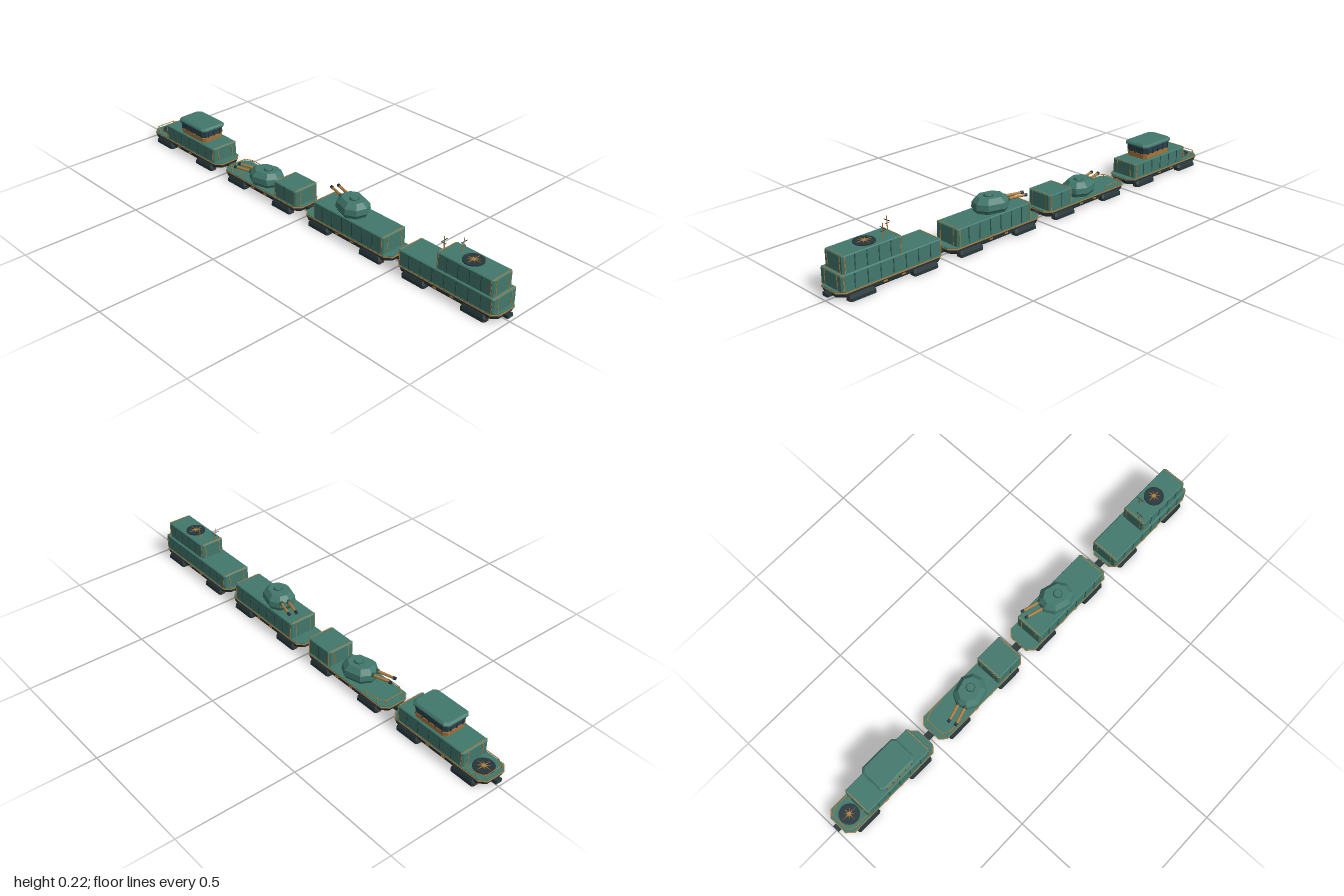
import * as THREE from 'three';

const mat = (name, color) => {
  const m = new THREE.MeshStandardMaterial({ color });
  m.name = name;
  return m;
};

// Stack of chamfered rectangles, each level = [y, halfWidth, halfLength, chamfer]
function loft(levels) {
  const rings = levels.map(([y, w, l, c]) => [
    [w, l - c], [w, c - l], [w - c, -l], [c - w, -l],
    [-w, c - l], [-w, l - c], [c - w, l], [w - c, l],
  ].map(([x, z]) => [x, y, z]));
  const pos = [];
  const tri = (a, b, c) => pos.push(...a, ...b, ...c);
  for (let k = 0; k < rings.length - 1; k++) {
    const lo = rings[k], hi = rings[k + 1];
    for (let i = 0; i < 8; i++) {
      const j = (i + 1) % 8;
      tri(lo[i], lo[j], hi[j]);
      tri(lo[i], hi[j], hi[i]);
    }
  }
  const bottom = rings[0], top = rings[rings.length - 1];
  for (let i = 1; i < 7; i++) {
    tri(top[0], top[i], top[i + 1]);
    tri(bottom[0], bottom[i + 1], bottom[i]);
  }
  const g = new THREE.BufferGeometry();
  g.setAttribute('position', new THREE.Float32BufferAttribute(pos, 3));
  g.computeVertexNormals();
  return g;
}

export function createModel() {
  const teal = mat('teal armour', 0x42786c);
  const rib = mat('dark teal ribs', 0x2d554e);
  const dark = mat('dark hull', 0x26363b);
  const gold = mat('bronze trim', 0xb07c3c);
  const glass = mat('window glass', 0x2b4350);
  const red = mat('dark red lamps', 0x6a2c28);

  const add = (parent, name, geo, material, x = 0, y = 0, z = 0) => {
    const m = new THREE.Mesh(geo, material);
    m.name = name;
    m.position.set(x, y, z);
    parent.add(m);
    return m;
  };
  const box = (parent, name, material, w, h, d, x, y, z) =>
    add(parent, name, new THREE.BoxGeometry(w, h, d), material, x, y, z);
  const group = (parent, name, x, y, z) => {
    const g = new THREE.Group();
    g.name = name;
    g.position.set(x, y, z);
    parent.add(g);
    return g;
  };

  // Hull with skids, deck trim and couplers
  function carriage(parent, name, z) {
    const car = group(parent, name, 0, 0, z);
    add(car, 'hull', loft([[0.005, 0.045, 0.205, 0.02], [0.018, 0.062, 0.228, 0.025], [0.034, 0.064, 0.234, 0.025]]), dark);
    add(car, 'deckTrim', loft([[0.034, 0.066, 0.236, 0.025], [0.0385, 0.066, 0.236, 0.025]]), gold);
    add(car, 'deck', loft([[0.0385, 0.064, 0.234, 0.025], [0.041, 0.064, 0.234, 0.025]]), teal);
    for (const s of [1, -1]) {
      box(car, 'coupler', dark, 0.028, 0.014, 0.026, 0, 0.024, s * 0.237);
      box(car, 'couplerPlate', glass, 0.02, 0.009, 0.002, 0, 0.024, s * 0.2495);
      for (const e of [1, -1]) {
        const skid = group(car, 'skid', s * 0.057, 0, e * 0.14);
        add(skid, 'skidBody', loft([[0, 0.016, 0.056, 0.006], [0.012, 0.015, 0.056, 0.006], [0.026, 0.009, 0.05, 0.006]]), dark);
        box(skid, 'skidLamp', red, 0.014, 0.006, 0.002, 0, 0.007, e * 0.0562);
        box(car, 'hullBolt', gold, 0.003, 0.005, 0.016, s * 0.064, 0.026, e * 0.04);
      }
    }
    return car;
  }

  // Armoured box with side ribs and bronze strips near its ends
  function cabin(car, name, hw, y0, y1, zBack, zFront) {
    const hl = (zFront - zBack) / 2, h = y1 - y0;
    const g = group(car, name, 0, y0, (zFront + zBack) / 2);
    add(g, 'walls', loft([[0, hw, hl, 0.006], [h - 0.003, hw, hl, 0.006], [h, hw - 0.003, hl - 0.003, 0.006]]), teal);
    const n = Math.max(2, Math.round(hl * 2 / 0.055));
    for (const s of [1, -1]) {
      for (let i = 1; i < n; i++)
        box(g, 'sideRib', rib, 0.003, h - 0.008, 0.004, s * hw, h / 2, -hl + i * 2 * hl / n);
      box(g, 'roofEndTrim', gold, hw * 2 - 0.014, 0.002, 0.003, 0, h, s * (hl - 0.006));
      for (const e of [1, -1]) {
        box(g, 'sideTrim', gold, 0.003, h - 0.004, 0.003, s * hw, h / 2, e * (hl - 0.009));
        box(g, 'endTrim', gold, 0.003, h - 0.008, 0.003, s * 0.036, h / 2, e * hl);
      }
    }
    return g;
  }

  // Faceted turret with a cupola and twin guns facing -z
  function turret(car, x, y, z, yaw) {
    const t = group(car, 'turret', x, y, z);
    t.rotation.y = yaw;
    add(t, 'turretShell', loft([[0, 0.046, 0.06, 0.028], [0.013, 0.057, 0.07, 0.033], [0.036, 0.055, 0.068, 0.033], [0.056, 0.038, 0.05, 0.024]]), teal);
    add(t, 'turretRing', loft([[-0.002, 0.05, 0.064, 0.03], [0.003, 0.05, 0.064, 0.03]]), rib);
    add(t, 'cupola', new THREE.CylinderGeometry(0.015, 0.018, 0.008, 12), teal, 0, 0.059, 0.008);
    add(t, 'cupolaRim', new THREE.CylinderGeometry(0.0185, 0.0195, 0.003, 12), rib, 0, 0.057, 0.008);
    for (const s of [1, -1]) {
      const gun = group(t, 'gun', s * 0.015, 0.033, -0.062);
      gun.rotation.x = -Math.PI / 2;
      add(gun, 'mantlet', new THREE.CylinderGeometry(0.009, 0.011, 0.022, 8), rib);
      add(gun, 'barrel', new THREE.CylinderGeometry(0.005, 0.0065, 0.09, 8), gold, 0, 0.04, 0);
      add(gun, 'muzzle', new THREE.CylinderGeometry(0.0065, 0.0065, 0.012, 8), dark, 0, 0.082, 0);
    }
  }

  // Round grille with eight tapering bronze blades
  function roundVent(car, y, z) {
    const v = group(car, 'roundVent', 0, y, z);
    add(v, 'ventDisc', new THREE.CylinderGeometry(0.041, 0.041, 0.004, 24), dark, 0, 0.001, 0);
    const blades = new THREE.Shape();
    for (let i = 0; i < 32; i++) {
      const r = i % 4 === 0 ? (i % 8 ? 0.024 : 0.033) : 0.008;
      const a = i * Math.PI / 16;
      blades[i ? 'lineTo' : 'moveTo'](r * Math.cos(a), r * Math.sin(a));
    }
    const m = add(v, 'ventBlades', new THREE.ExtrudeGeometry(blades, { depth: 0.002, bevelEnabled: false }), gold, 0, 0.003, 0);
    m.rotation.x = -Math.PI / 2;
  }

  // Low handrail running around the rear deck
  function rearRail(car, zStart, zEnd) {
    const pts = [[0.055, zStart], [0.056, zEnd + 0.03], [0.04, zEnd], [-0.04, zEnd], [-0.056, zEnd + 0.03], [-0.055, zStart]]
      .map(([x, z]) => new THREE.Vector3(x, 0.055, z));
    const path = new THREE.CurvePath();
    for (let i = 0; i < 5; i++) path.add(new THREE.LineCurve3(pts[i], pts[i + 1]));
    add(car, 'rearRail', new THREE.TubeGeometry(path, 40, 0.0016, 5), gold);
    for (const p of pts) box(car, 'railPost', gold, 0.003, 0.016, 0.003, p.x, 0.048, p.z);
  }

  const train = new THREE.Group();
  train.name = 'armouredConvoy';

  // Lead car: two-tier cabin, vent and masts
  const lead = carriage(train, 'leadCar', 0.75);
  cabin(lead, 'lowerCabin', 0.062, 0.04, 0.102, -0.222, 0.222);
  cabin(lead, 'upperCabin', 0.053, 0.1, 0.167, -0.05, 0.207);
  roundVent(lead, 0.168, 0.075);
  for (const [x, z] of [[-0.02, -0.043], [0.02, 0.01]]) {
    const mast = group(lead, 'mast', x, 0.166, z);
    mast.rotation.z = -Math.sign(x) * 0.06;
    add(mast, 'mastPole', new THREE.CylinderGeometry(0.0014, 0.0025, 0.056, 6), gold, 0, 0.028, 0);
    box(mast, 'mastBar', dark, 0.034, 0.002, 0.002, 0, 0.038, 0);
    box(mast, 'mastCross', dark, 0.002, 0.002, 0.018, 0, 0.026, 0);
  }

  // Gun car with a raised turret
  const gunCar = carriage(train, 'gunCar', 0.25);
  cabin(gunCar, 'gunCabin', 0.062, 0.04, 0.112, -0.177, 0.202);
  turret(gunCar, 0, 0.114, -0.018, -0.28);

  // Low gun car with a short cabin and a deck turret
  const lowCar = carriage(train, 'lowGunCar', -0.25);
  cabin(lowCar, 'shortCabin', 0.06, 0.04, 0.107, 0.088, 0.22);
  turret(lowCar, -0.004, 0.043, -0.018, 0.28);
  rearRail(lowCar, -0.12, -0.212);

  // Command car with a glazed bridge and a rear deck
  const command = carriage(train, 'commandCar', -0.75);
  cabin(command, 'commandCabin', 0.062, 0.04, 0.102, -0.132, 0.205);
  const bridge = group(command, 'bridge', 0, 0.102, 0.048);
  add(bridge, 'bridgeBase', loft([[0, 0.052, 0.08, 0.012], [0.022, 0.055, 0.084, 0.012]]), gold);
  add(bridge, 'bridgeGlass', loft([[0.022, 0.053, 0.081, 0.012], [0.054, 0.057, 0.085, 0.012]]), glass);
  for (const s of [1, -1]) {
    for (let i = -2; i <= 2; i++) box(bridge, 'sidePillar', dark, 0.004, 0.034, 0.004, s * 0.055, 0.038, i * 0.033);
    for (const x of [-0.03, 0, 0.03]) box(bridge, 'endPillar', dark, 0.004, 0.034, 0.004, x, 0.038, s * 0.083);
  }
  add(bridge, 'bridgeRoof', loft([[0.053, 0.061, 0.09, 0.014], [0.059, 0.061, 0.09, 0.014], [0.066, 0.054, 0.083, 0.014]]), teal);
  roundVent(command, 0.042, -0.176);
  rearRail(command, -0.1, -0.222);

  return train;
}
